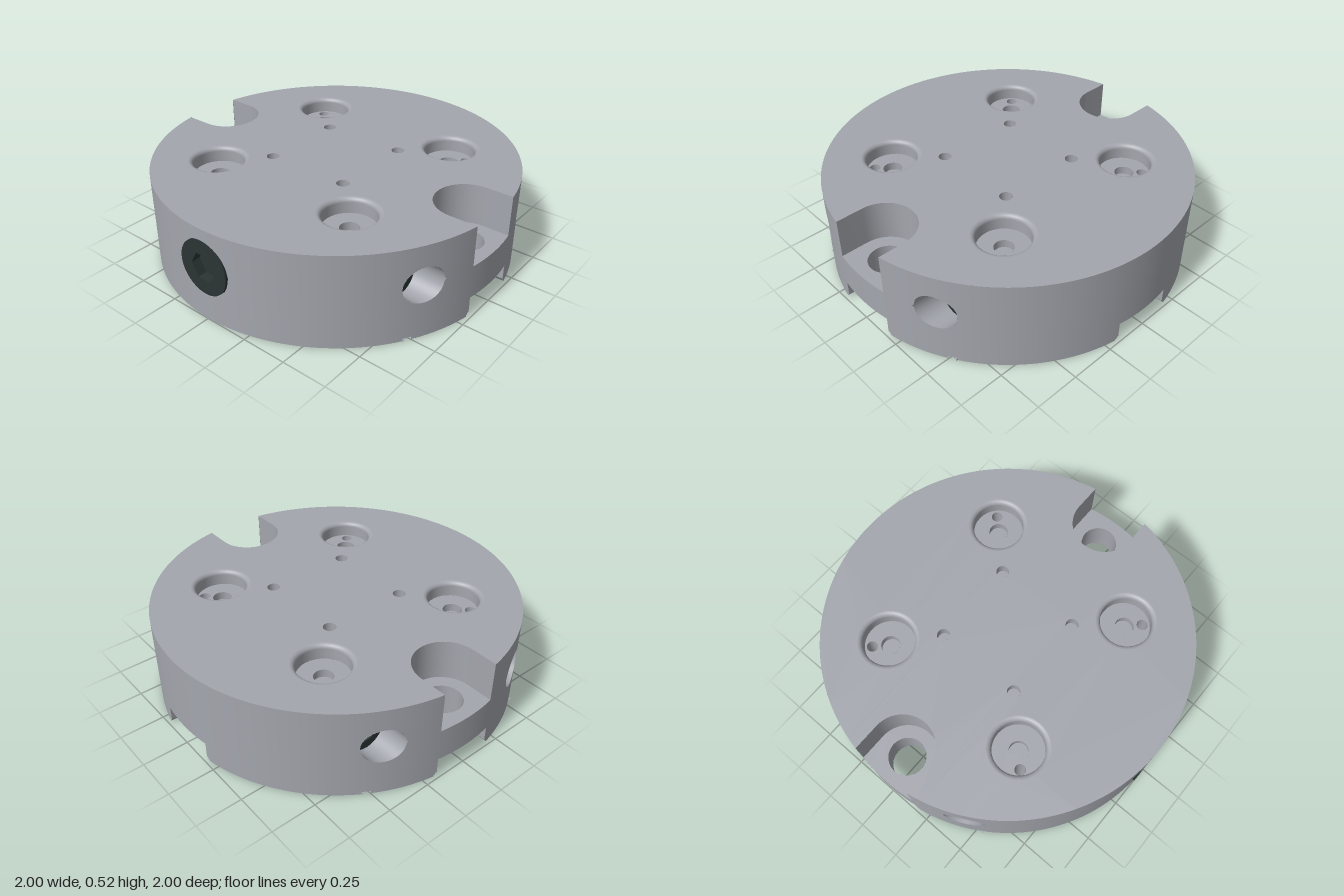
import * as THREE from 'three';
import { toCreasedNormals } from 'three/addons/utils/BufferGeometryUtils.js';

const H = 0.52, SHELF = 0.295, CEIL = 0.11, CHAMFER = 0.025, GROOVE = 0.015, HOLE_Y = 0.3;
const V2 = (x, y) => new THREE.Vector2(x, y);

// Plan path (x, z) of a rim slot: in along one side, round the inner corners, out again
function slotPath({ a, h, inner, r }) {
  const side = [[Math.sqrt(1 - h * h), -h]];
  for (let i = 0; i <= 12; i++) {
    const t = (i / 12) * Math.PI / 2;
    side.push([inner + r - r * Math.sin(t), -h + r - r * Math.cos(t)]);
  }
  const both = [...side, ...side.map(([u, v]) => [u, -v]).reverse()];
  return both.map(([u, v]) => V2(u * Math.cos(a) - v * Math.sin(a), u * Math.sin(a) + v * Math.cos(a)));
}

// Unit circle in plan with slots cut into it
function outline(slots, n = 480) {
  const pts = [], done = new Set();
  for (let i = 0; i < n; i++) {
    const th = Math.PI / 4 + (i / n) * Math.PI * 2;
    const s = slots.find(q => Math.cos(th - q.a) > Math.sqrt(1 - q.h * q.h));
    if (!s) pts.push(V2(Math.cos(th), Math.sin(th)));
    else if (!done.has(s)) { done.add(s); pts.push(...slotPath(s)); }
  }
  return pts;
}

// Flat horizontal face at height y, with round holes [x, z, r]
function cap(pts, y, holes = []) {
  const shape = new THREE.Shape(pts);
  for (const [x, z, r] of holes) shape.holes.push(new THREE.Path().absarc(x, z, r, 0, Math.PI * 2, true));
  return new THREE.ShapeGeometry(shape, 16).rotateX(Math.PI / 2).translate(0, y, 0);
}

// Surface from a list of quads, each with four [x, y, z] corners
function quads(list) {
  const pos = [];
  for (const [a, b, c, d] of list) pos.push(...a, ...b, ...c, ...a, ...c, ...d);
  const g = new THREE.BufferGeometry();
  g.setAttribute('position', new THREE.Float32BufferAttribute(pos, 3));
  g.computeVertexNormals();
  return toCreasedNormals(g, 0.6);
}

// Wall from one plan path at y0 to another at y1
function wall(p0, y0, p1, y1) {
  return quads(p0.slice(1).map((q, i) => [
    [p0[i].x, y0, p0[i].y], [q.x, y0, q.y], [p1[i + 1].x, y1, p1[i + 1].y], [p1[i].x, y1, p1[i].y]]));
}

// Outer rim, open at the slots, grooves and side holes
function rim(n = 720) {
  const list = [];
  const at = th => {
    const x = Math.cos(th), z = Math.sin(th);
    let f = 0;
    if (Math.abs(x) > 0.7) f = Math.sqrt(Math.max(0, 0.01 - (Math.abs(z) - 0.45) ** 2));
    else if (z > 0.7) f = Math.sqrt(Math.max(0, 0.155 ** 2 - x * x));
    return { x, z, f };
  };
  for (let i = 0; i < n; i++) {
    const a = at((i / n) * Math.PI * 2), b = at(((i + 1) / n) * Math.PI * 2), m = at(((i + 0.5) / n) * Math.PI * 2);
    const onSide = Math.abs(m.x) > 0.9, t = onSide ? Math.abs(m.z) : m.z < -0.9 ? Math.abs(m.x) : 1;
    let lo = 0;
    if (t < 0.175) lo = CEIL;
    else if (t < 0.195) lo = CHAMFER * (0.195 - t) / 0.02;
    else if (Math.abs(Math.abs(m.z) - 0.52) < 0.02) lo = GROOVE;
    const hi = onSide && t < 0.175 ? SHELF : H;
    const add = (a0, b0, a1, b1) => list.push([[a.x, a0, a.z], [a.x, a1, a.z], [b.x, b1, b.z], [b.x, b0, b.z]]);
    if (a.f + b.f > 0) {
      add(lo, lo, HOLE_Y - a.f, HOLE_Y - b.f);
      add(HOLE_Y + a.f, HOLE_Y + b.f, hi, hi);
    } else add(lo, lo, hi, hi);
  }
  return quads(list);
}

export function createModel() {
  const model = new THREE.Group();
  const steel = new THREE.MeshStandardMaterial({ color: 0xa3a6ad, side: THREE.DoubleSide });
  steel.name = 'steel grey';
  const black = new THREE.MeshStandardMaterial({ color: 0x2a3533, side: THREE.DoubleSide });
  black.name = 'blackened steel';
  const add = (name, geo, mat = steel, parent = model) => {
    const m = new THREE.Mesh(geo, mat);
    m.name = name;
    parent.add(m);
    return m;
  };
  const tube = (name, x, z, r, y0, y1, mat = steel) =>
    add(name, new THREE.CylinderGeometry(r, r, y1 - y0, 24, 1, true).translate(x, (y0 + y1) / 2, z), mat);
  const disc = (name, x, z, r, y, mat = steel) =>
    add(name, new THREE.CircleGeometry(r, 24).rotateX(-Math.PI / 2).translate(x, y, z), mat);
  const corners = [[1, 1], [1, -1], [-1, 1], [-1, -1]];

  const topSlots = [0, Math.PI].map(a => ({ a, h: 0.175, inner: 0.66, r: 0.174 }));
  const lowSlots = [0, Math.PI, 1.5 * Math.PI].map(a => ({ a, h: 0.175, inner: 0.66, r: 0.07 }));
  const mouths = lowSlots.map(s => ({ ...s, h: 0.195, inner: 0.64, r: 0.09 }));

  // Disc body
  add('rim', rim());
  add('topFace', cap(outline(topSlots), H,
    corners.flatMap(([i, j]) => [[i * 0.45, j * 0.45, 0.165], [i * 0.243, j * 0.243, 0.035]])));

  // Slots and their shelves, with a through hole in each side shelf
  const floorOf = s => {
    const e = Math.asin(s.h), p = slotPath(s);
    for (let i = 1; i < 12; i++) {
      const t = s.a + e - (2 * e * i) / 12;
      p.push(V2(Math.cos(t), Math.sin(t)));
    }
    return p;
  };
  const shelfHole = s => Math.abs(Math.cos(s.a)) > 0.5 ? [[Math.cos(s.a) * 0.83, 0, 0.102]] : [];
  for (const s of topSlots) {
    add('topSlotWall', wall(slotPath(s), SHELF, slotPath(s), H));
    add('topSlotShelf', cap(floorOf(s), SHELF, shelfHole(s)));
    tube('shelfHole', Math.cos(s.a) * 0.83, 0, 0.102, CEIL, SHELF);
  }
  lowSlots.forEach((s, i) => {
    add('lowerSlotWall', wall(slotPath(s), CHAMFER, slotPath(s), CEIL));
    add('lowerSlotChamfer', wall(slotPath(mouths[i]), 0, slotPath(s), CHAMFER));
    add('lowerSlotCeiling', cap(floorOf(s), CEIL, shelfHole(s)));
  });

  // Underside, split by two shallow grooves
  const screwSpots = corners.map(([i, j]) => [i * 0.5, j * 0.215, 0.058]).concat([[0, 0, 0.028]]);
  const under = outline(mouths);
  add('undersideMiddle', cap(under.filter(p => Math.abs(p.y) < 0.5), 0, screwSpots));
  add('undersideFront', cap(under.filter(p => p.y > 0.54), 0));
  add('undersideBack', cap(under.filter(p => p.y < -0.54), 0));
  for (const z of [0.52, -0.52]) {
    for (const e of [-0.02, 0.02])
      add('grooveWall', wall([V2(-0.85, z + e), V2(0.85, z + e)], 0, [V2(-0.85, z + e), V2(0.85, z + e)], GROOVE));
    for (const [x0, x1] of [[-0.855, -0.55], [-0.49, 0.49], [0.55, 0.855]])
      add('grooveCeiling', new THREE.PlaneGeometry(x1 - x0, 0.045).rotateX(Math.PI / 2)
        .translate((x0 + x1) / 2, GROOVE, z));
  }

  // Rounded counterbores with socket and drain hole, and small blind holes
  const bore = [V2(0.14, 0.435)];
  for (let i = 0; i <= 6; i++) {
    const t = (i / 6) * Math.PI / 2;
    bore.push(V2(0.165 - 0.025 * Math.cos(t), H - 0.025 + 0.025 * Math.sin(t)));
  }
  const ring = (cx, cz, r) => new THREE.Path().absarc(cx, cz, r, 0, Math.PI * 2).getPoints(24).slice(1);
  for (const [i, j] of corners) {
    const x = i * 0.45, z = j * 0.45;
    add('counterbore', new THREE.LatheGeometry(bore, 32).translate(x, 0, z));
    add('counterboreFloor', cap(ring(x, z, 0.14), 0.435, [[x, z, 0.052], [i * 0.52, j * 0.52, 0.03]]));
    tube('socketWall', x, z, 0.052, 0.39, 0.435);
    disc('socketFloor', x, z, 0.052, 0.39);
    tube('drainHole', i * 0.52, j * 0.52, 0.03, GROOVE, 0.435);
    tube('blindHole', i * 0.243, j * 0.243, 0.035, 0.46, H);
    disc('blindHoleFloor', i * 0.243, j * 0.243, 0.035, 0.46);
  }

  // Socket screw whose face lies at z = 0
  const screw = (name, r, hexR) => {
    const g = new THREE.Group();
    g.name = name;
    const face = new THREE.Shape().absarc(0, 0, r, 0, Math.PI * 2);
    face.holes.push(new THREE.Path(Array.from({ length: 6 }, (_, k) =>
      V2(hexR * Math.cos(-k * Math.PI / 3), hexR * Math.sin(-k * Math.PI / 3)))));
    const opts = { depth: 0.07, bevelEnabled: false, curveSegments: 32 };
    add('screwHead', toCreasedNormals(new THREE.ExtrudeGeometry(face, opts), 0.6).translate(0, 0, -0.07), black, g);
    add('screwSocketFloor', new THREE.CircleGeometry(hexR, 6).translate(0, 0, -0.05), black, g);
    model.add(g);
    return g;
  };
  screw('frontScrew', 0.152, 0.08).position.set(0, HOLE_Y, 0.999);

  // Side bores trimmed to the rim, each with a sunken screw
  for (const [i, j] of corners) {
    const list = [];
    const p = (k, inner) => {
      const t = (k / 32) * Math.PI * 2, z = j * 0.45 + 0.1 * Math.cos(t);
      return [i * (inner ? 0.72 : Math.sqrt(1 - z * z)), HOLE_Y + 0.1 * Math.sin(t), z];
    };
    for (let k = 0; k < 32; k++) list.push([p(k, true), p(k + 1, true), p(k + 1, false), p(k, false)]);
    add('sideBore', quads(list));
    const s = screw('sideScrew', 0.099, 0.06);
    s.position.set(i * 0.77, HOLE_Y, j * 0.45);
    s.rotation.y = i * Math.PI / 2;
  }

  // Cover plate under the body, with sunken screws and a centre hole
  const plate = new THREE.Path();
  const [s, t, f] = [0.645, 0.32, 0.04];
  plate.moveTo(s, -t + f);
  for (let k = 0; k < 4; k++) {
    const q = (x, z) => [[x, z], [-z, x], [-x, -z], [z, -x]][k];
    plate.lineTo(...q(s, t - f));
    plate.quadraticCurveTo(...q(s, t), ...q(s - 0.03, t + 0.03));
    plate.lineTo(...q(t + 0.03, s - 0.03));
    plate.quadraticCurveTo(...q(t, s), ...q(t - f, s));
  }
  const edge = plate.getPoints(6);
  add('coverPlate', cap(edge, -0.003, screwSpots), black);
  add('coverPlateEdge', wall(edge, -0.003, edge, 0.001), black);
  for (const [x, z, r] of screwSpots) {
    tube('coverScrewHole', x, z, r, -0.003, 0.03, black);
    disc('coverScrew', x, z, r, 0.03, black);
  }
  return model;
}
